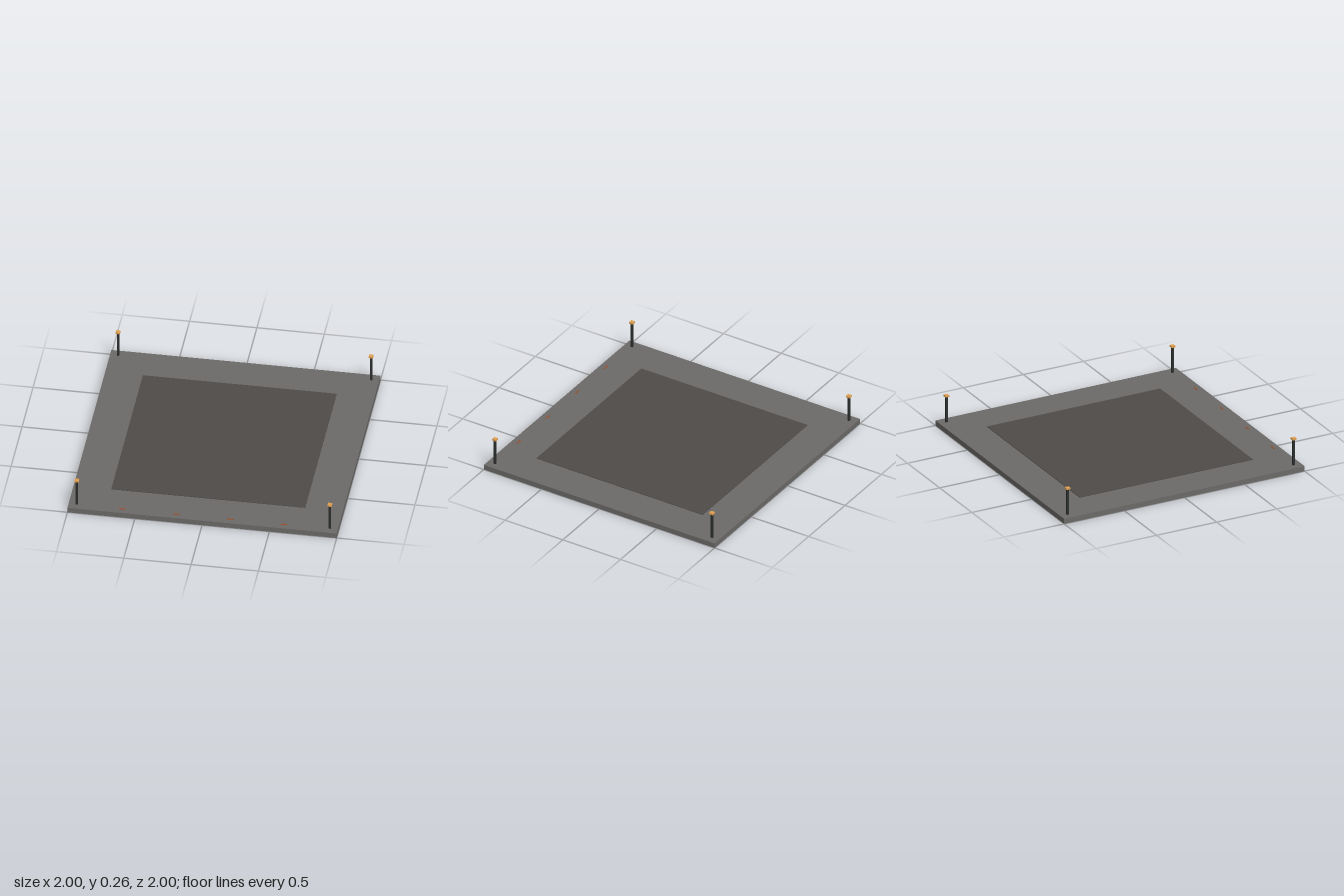
import * as THREE from 'three';

export function createModel() {
  const model = new THREE.Group();
  const material = (color) => new THREE.MeshStandardMaterial({ color });
  const slabGrey = material(0x6c6a68);
  const panelGrey = material(0x4e4b49);
  const postDark = material(0x2c2e2e);
  const lampAmber = material(0xe0a050);
  const markRed = material(0xa84a20);

  // Box standing on height y
  const box = (name, mat, w, h, d, x, y, z, parent = model) => {
    const mesh = new THREE.Mesh(new THREE.BoxGeometry(w, h, d), mat);
    mesh.name = name;
    mesh.position.set(x, y + h / 2, z);
    parent.add(mesh);
  };

  // Square platform with a thin raised panel in the middle
  box('platform', slabGrey, 2, 0.04, 2, 0, 0, 0);
  box('centrePanel', panelGrey, 1.44, 0.004, 1.44, 0, 0.04, 0);

  // Corner posts with lamp caps
  for (const x of [-0.94, 0.94]) {
    for (const z of [-0.94, 0.94]) {
      const post = new THREE.Group();
      post.name = 'cornerPost';
      post.position.set(x, 0, z);
      box('post', postDark, 0.016, 0.204, 0.016, 0, 0.04, 0, post);
      box('lamp', lampAmber, 0.032, 0.013, 0.032, 0, 0.244, 0, post);
      model.add(post);
    }
  }

  // Small marks along the front edge
  for (const x of [-0.6, -0.2, 0.2, 0.6]) {
    box('edgeMark', markRed, 0.048, 0.003, 0.008, x, 0.04, 0.95);
  }

  return model;
}
